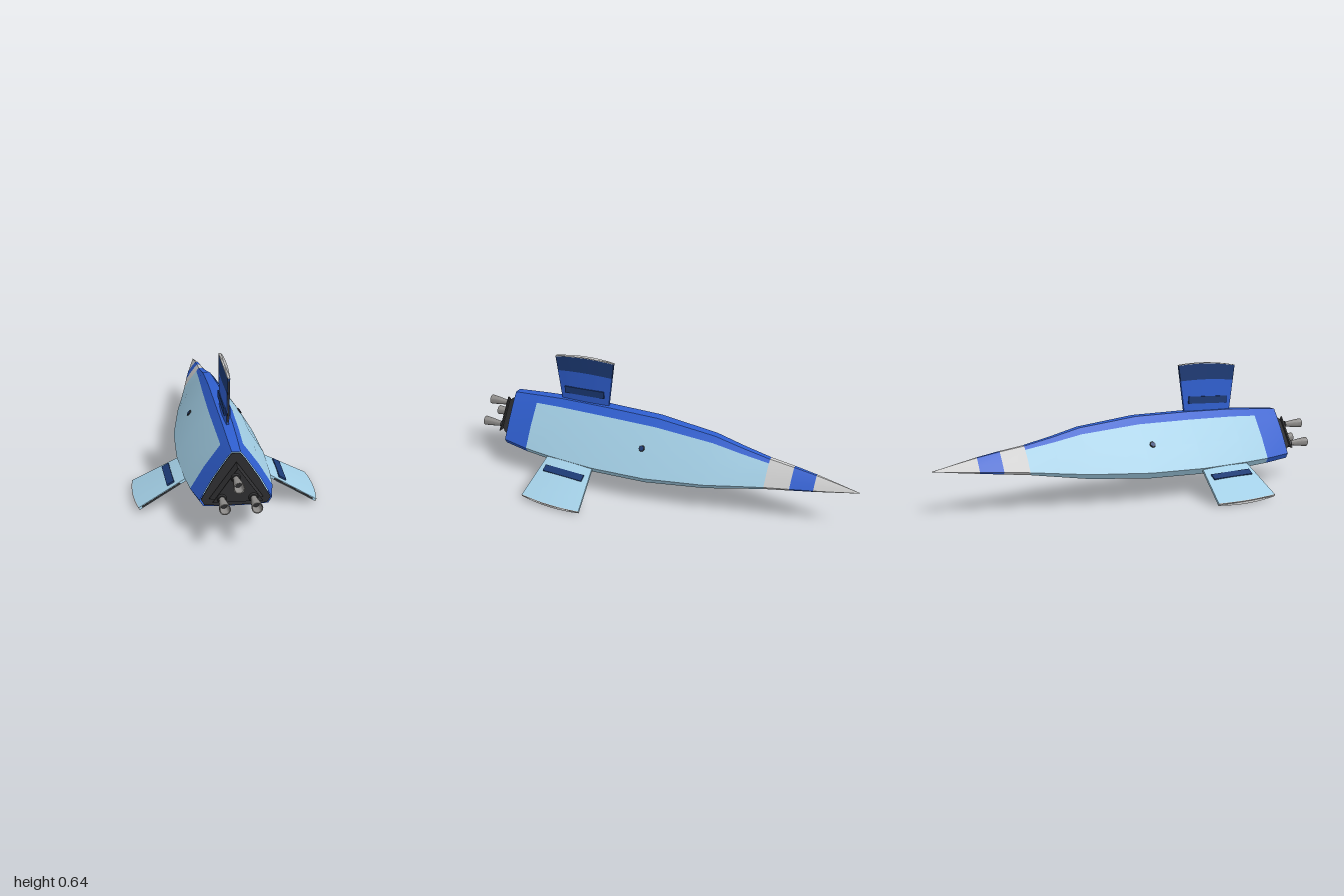
import * as THREE from 'three';
import { toCreasedNormals } from 'three/addons/utils/BufferGeometryUtils.js';

const mat = (color) => new THREE.MeshStandardMaterial({ color, side: THREE.DoubleSide });
const LIGHT = mat(0xa3cfe6), BLUE = mat(0x2f5fd0), NAVY = mat(0x1c3a75);
const GREY = mat(0xcccccc), DARK = mat(0x2e2e30), STEEL = mat(0x8c8a88);

// Skin a row of point rings; optional end caps.
function loft(rings, { closed = true, capStart = false, capEnd = false } = {}) {
  const pos = [];
  const tri = (...pts) => pts.forEach((p) => pos.push(p.x, p.y, p.z));
  const n = rings[0].length;
  const span = closed ? n : n - 1;
  for (let r = 0; r < rings.length - 1; r++) {
    const a = rings[r], b = rings[r + 1];
    for (let i = 0; i < span; i++) {
      const j = (i + 1) % n;
      tri(a[i], a[j], b[i]);
      tri(a[j], b[j], b[i]);
    }
  }
  const cap = (ring, flip) => {
    const c = new THREE.Vector3();
    ring.forEach((p) => c.addScaledVector(p, 1 / n));
    ring.forEach((p, i) => {
      const q = ring[(i + 1) % n];
      flip ? tri(c, q, p) : tri(c, p, q);
    });
  };
  if (capStart) cap(rings[0], true);
  if (capEnd) cap(rings[rings.length - 1], false);
  const geo = new THREE.BufferGeometry();
  geo.setAttribute('position', new THREE.Float32BufferAttribute(pos, 3));
  return toCreasedNormals(geo, 0.6);
}

function add(parent, name, geo, material, x = 0, y = 0, z = 0) {
  const mesh = new THREE.Mesh(geo, material);
  mesh.name = name;
  mesh.position.set(x, y, z);
  parent.add(mesh);
  return mesh;
}

// Hull stations from tail to nose: z, top, bottom, half width
const STATIONS = [
  [0.83, 0.375, 0.13, 0.155], [0.69, 0.386, 0.12, 0.181], [0.55, 0.395, 0.114, 0.195],
  [0.3, 0.4, 0.108, 0.207], [0.02, 0.398, 0.112, 0.197], [-0.28, 0.365, 0.133, 0.152],
  [-0.42, 0.33, 0.152, 0.12], [-0.56, 0.3, 0.172, 0.092], [-0.68, 0.283, 0.184, 0.07],
  [-0.79, 0.264, 0.195, 0.049], [-0.9, 0.241, 0.206, 0.024], [-1, 0.219, 0.217, 0.001],
];
// Right half of the section: fraction of half width, fraction of height
const SECTION = [[0.12, 1], [0.27, 0.88], [0.66, 0.515], [1, 0.13], [0.9, 0.025], [0.45, 0.004]];

function hullRing([z, top, bottom, half], part) {
  const pt = (sign) => ([fx, fy]) =>
    new THREE.Vector3(sign * fx * half, bottom + fy * (top - bottom), z);
  const right = SECTION.map(pt(1)), left = SECTION.map(pt(-1));
  if (part === 'spine') return [left[1], left[0], right[0], right[1]];
  if (part === 'skin') return [...right.slice(1), ...left.slice(1).reverse()];
  return [...right, ...left.reverse()];
}

function makeHull() {
  const hull = new THREE.Group();
  hull.name = 'hull';
  const piece = (name, from, to, material, part, caps = {}) =>
    add(hull, name, loft(STATIONS.slice(from, to + 1).map((s) => hullRing(s, part)),
      { closed: !part, ...caps }), material);
  piece('tailBand', 0, 1, BLUE);
  piece('hullSkin', 1, 7, LIGHT, 'skin');
  piece('spine', 1, 7, BLUE, 'spine');
  piece('greyBand', 7, 8, GREY);
  piece('noseBand', 8, 9, BLUE);
  piece('noseCone', 9, 11, GREY, undefined, { capEnd: true });

  // Dark rear bulkhead
  const rear = [[0.832, 0.37, 0.134, 0.149], [0.825, 0.37, 0.134, 0.149]];
  add(hull, 'bulkhead', loft(rear.map((s) => hullRing(s)), { capStart: true, capEnd: true }), DARK);

  // Portholes on both flanks and the belly
  const hole = (name, x, y, nx, ny) => {
    const port = new THREE.Group();
    port.name = name;
    port.position.set(x, y, 0.06);
    port.quaternion.setFromUnitVectors(new THREE.Vector3(0, 1, 0), new THREE.Vector3(nx, ny, 0).normalize());
    add(port, 'glass', new THREE.CylinderGeometry(0.011, 0.011, 0.008, 20), NAVY);
    add(port, 'rim', new THREE.TorusGeometry(0.012, 0.0035, 8, 24).rotateX(Math.PI / 2), DARK);
    hull.add(port);
  };
  hole('portholeLeft', 0.124, 0.272, 0.82, 0.57);
  hole('portholeRight', -0.124, 0.272, -0.82, 0.57);
  hole('portholeBelly', 0, 0.109, 0, -1);
  return hull;
}

// Lens-section fin growing along +y with a curved tip
function makeFin(name, lower, upper) {
  const fin = new THREE.Group();
  fin.name = name;
  const N = 8;
  const ring = (t, grow = 1) => {
    const pt = (s, sign) => new THREE.Vector3(
      sign * grow * (0.006 + 0.02 * s * (1 - s)),
      t * (0.25 + 0.033 * s - 0.048 * s * s),
      THREE.MathUtils.lerp(0.3 - 0.035 * t, 0.56 + 0.03 * t, s));
    const pts = [];
    for (let i = N; i >= 0; i--) pts.push(pt(i / N, 1));
    for (let i = 0; i <= N; i++) pts.push(pt(i / N, -1));
    return pts;
  };
  add(fin, 'finRoot', loft([ring(-0.12), ring(0.67)], { capStart: true }), lower);
  add(fin, 'finOuter', loft([ring(0.67), ring(0.985)]), upper);
  add(fin, 'finTip', loft([ring(0.985), ring(1, 0.9)], { capEnd: true }), GREY);
  // Dark slot through both faces and dark trailing edge
  add(fin, 'slot', new THREE.BoxGeometry(0.03, 0.036, 0.22), NAVY, 0, 0.066, 0.43).rotation.x = 0.04;
  add(fin, 'trailingEdge', new THREE.BoxGeometry(0.007, 0.2, 0.006), DARK, 0, 0.12, 0.574).rotation.x = 0.127;
  return fin;
}

function makeEngine() {
  const engine = new THREE.Group();
  engine.name = 'engine';
  // Triangular mount: z, scale
  const steps = [[0.893, 0.97], [0.886, 0.97], [0.885, 0.76], [0.862, 0.95], [0.84, 1.05]];
  const corners = [[0, 0.095], [0.11, -0.06], [-0.11, -0.06]];
  const rings = steps.map(([z, s]) => corners.map(([x, y]) => new THREE.Vector3(x * s, 0.235 + y * s, z)));
  add(engine, 'engineMount', loft(rings, { capStart: true, capEnd: true }), DARK);
  add(engine, 'engineNeck', new THREE.BoxGeometry(0.05, 0.05, 0.03), DARK, 0, 0.225, 0.835);

  // Flared nozzles
  const profile = [[0.013, 0], [0.013, 0.02], [0.016, 0.04], [0.02, 0.07], [0.024, 0.108],
    [0.02, 0.108], [0.015, 0.06], [0.011, 0.04]].map(([r, y]) => new THREE.Vector2(r, y));
  [[-0.01, 0.285], [-0.068, 0.194], [0.065, 0.194]].forEach(([x, y]) => {
    const nozzle = new THREE.Group();
    nozzle.name = 'nozzle';
    nozzle.position.set(x, y, 0.892);
    nozzle.rotation.x = Math.PI / 2;
    add(nozzle, 'bell', toCreasedNormals(new THREE.LatheGeometry(profile, 24), 0.7), STEEL);
    add(nozzle, 'throat', new THREE.CylinderGeometry(0.0155, 0.0155, 0.004, 20), DARK, 0, 0.062, 0);
    add(nozzle, 'collar', new THREE.CylinderGeometry(0.017, 0.021, 0.012, 20), DARK, 0, 0.006, 0);
    engine.add(nozzle);
  });
  return engine;
}

export function createModel() {
  const model = new THREE.Group();
  model.name = 'rocketShip';
  model.add(makeHull(), makeEngine());

  const topFin = makeFin('topFin', BLUE, NAVY);
  topFin.position.y = 0.385;
  model.add(topFin);
  for (const side of [1, -1]) {
    const fin = makeFin(side > 0 ? 'leftFin' : 'rightFin', LIGHT, LIGHT);
    fin.position.set(side * 0.195, 0.136, 0);
    fin.rotation.z = -side * THREE.MathUtils.degToRad(119);
    model.add(fin);
  }
  return model;
}
